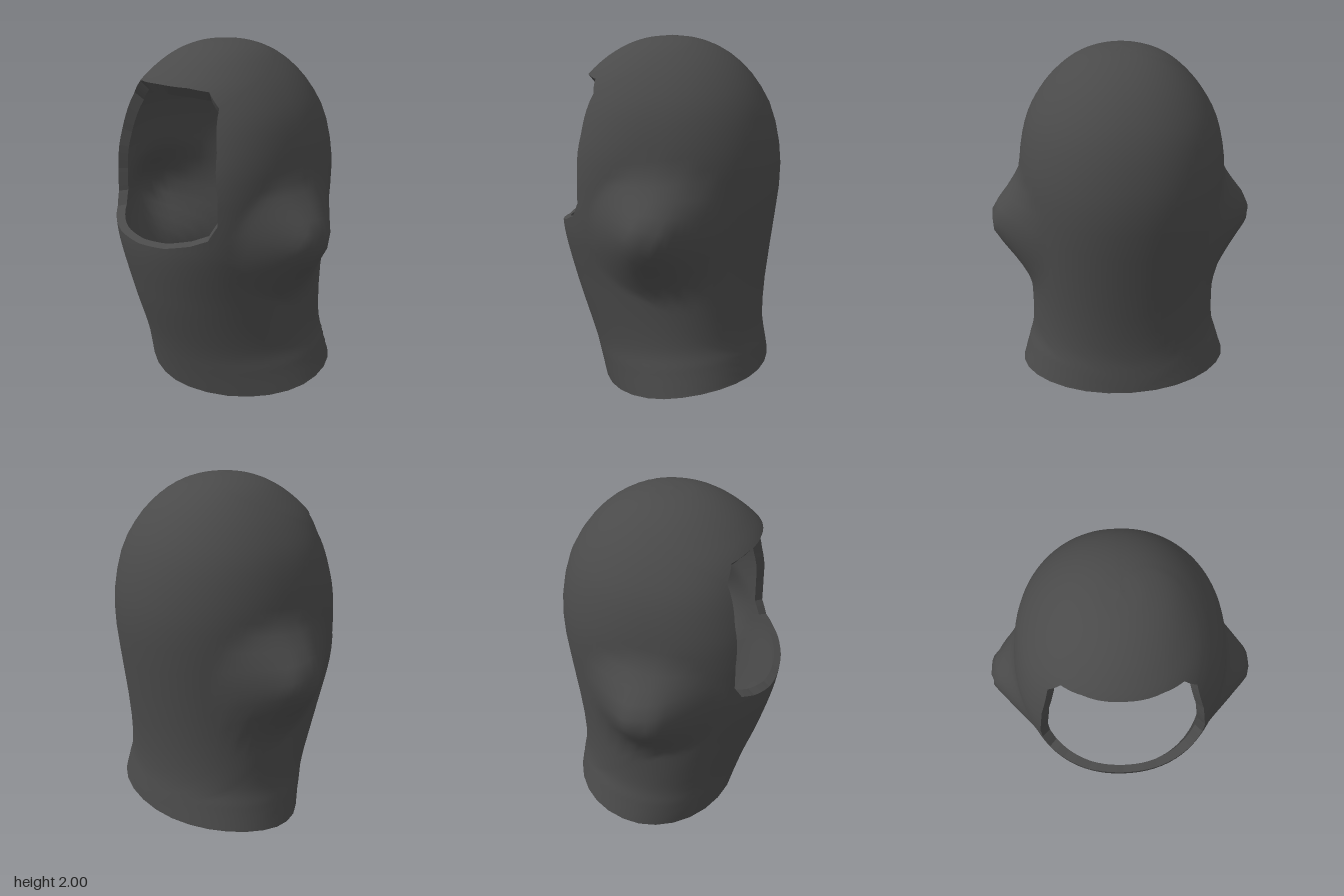
import * as THREE from 'three';
import { mergeVertices } from 'three/addons/utils/BufferGeometryUtils.js';

// Hood cross-sections from neck to crown: [height, half width, front depth, back depth]
const ROWS = [
  [0, 0.625, 0.40, 0.585], [0.15, 0.585, 0.435, 0.565], [0.3, 0.552, 0.475, 0.548],
  [0.6, 0.55, 0.565, 0.56], [0.93, 0.575, 0.635, 0.6], [1.2, 0.585, 0.62, 0.63],
  [1.4, 0.578, 0.59, 0.62], [1.6, 0.532, 0.55, 0.57], [1.75, 0.45, 0.50, 0.485],
  [1.86, 0.355, 0.395, 0.385], [1.94, 0.25, 0.27, 0.265], [1.985, 0.13, 0.14, 0.135], [2, 0, 0, 0],
];
const spline = (pts) => new THREE.CatmullRomCurve3(pts, false, 'catmullrom', 0.5);
const sizes = spline(ROWS.map((r) => new THREE.Vector3(r[1], r[2], r[3])));
const heights = spline(ROWS.map((r) => new THREE.Vector3(0, r[0], 0)));

// Half outline of the face opening (x, y), top centre to bottom centre
const OPENING = [
  [0, 1.785], [0.2, 1.78], [0.3, 1.765], [0.37, 1.69], [0.42, 1.48], [0.45, 1.24],
  [0.45, 1.1], [0.415, 1.02], [0.34, 0.985], [0.2, 0.95], [0, 0.935],
];
const SUB = 5;    // loop points per outline segment
const RINGS = 40; // rings from the opening to the hem, crown and back seam

const { lerp, clamp } = THREE.MathUtils;
const signedPow = (s, power) => Math.sign(s) * Math.abs(s) ** (2 / power);

// Squareness of the ovals: narrow at the throat, fullest at the cheeks, rounder at the back
const frontPower = (y) => Math.min(1.85 + 0.45 * y, 2.4 - 0.7 * Math.max(0, y - 1.4));
const BACK_POWER = 2.1;

// Point on the hood at angle a (0 = front) and row parameter v (0 = hem, 1 = crown)
function hoodPoint(a, v) {
  const s = sizes.getPoint(v);
  let y = heights.getPoint(v).y;
  const power = Math.cos(a) > 0 ? frontPower(y) : BACK_POWER;
  let x = s.x * signedPow(Math.sin(a), power);
  const c = signedPow(Math.cos(a), power);
  // widest line drifts back towards the hem
  const z0 = -0.1 * Math.max(0, 1 - y / 0.9);
  const z = z0 + c * (c > 0 ? s.y - z0 : s.z + z0);
  // hem rises in an S from front to back
  y += (0.075 - 0.082 * c - 0.018 * c * c + 0.025 * c ** 3) * Math.max(0, 1 - y / 0.6);
  // blunt bulge over each ear, fading into the cheek and nape
  const dy = y - 0.99, dz = z - 0.015;
  const d = Math.hypot(dy / (dy > 0 ? 0.33 : 0.39), dz / (dz > 0 ? 0.36 : 0.42));
  x += Math.sign(x) * 0.178 * clamp((1 - d) / 0.78, 0, 1) ** 1.3;
  return new THREE.Vector3(x, y, z);
}

// Row parameter for a height, by bisection
function rowAt(y) {
  let lo = 0, hi = 1;
  for (let i = 0; i < 30; i++) {
    const mid = (lo + hi) / 2;
    if (heights.getPoint(mid).y < y) lo = mid; else hi = mid;
  }
  return lo;
}

// Half loop pairing each opening point with a point on the domain's outer edge
function halfLoop() {
  const loop = [];
  for (let k = 0; k <= (OPENING.length - 1) * SUB; k++) {
    const u = k / SUB;
    const i = Math.min(Math.floor(u), OPENING.length - 2);
    const x = lerp(OPENING[i][0], OPENING[i + 1][0], u - i);
    const y = lerp(OPENING[i][1], OPENING[i + 1][1], u - i);
    const v0 = rowAt(y);
    const a0 = Math.asin((x / sizes.getPoint(v0).x) ** (frontPower(y) / 2));
    // crown edge, then back seam, then hem edge
    let a1 = Math.PI, v1;
    if (u <= 3) { a1 = Math.PI * u / 3; v1 = 1; }
    else if (u < 7) v1 = 1 - (u - 3) / 4;
    else { a1 = Math.PI * (10 - u) / 3; v1 = 0; }
    loop.push({ a0, v0, a1, v1 });
  }
  return loop;
}

// Smooth surface through closed rings of points
function loft(rings, flip) {
  const n = rings[0].length;
  const index = [];
  for (let i = 0; i < rings.length - 1; i++) {
    for (let j = 0; j < n; j++) {
      const a = i * n + j, b = i * n + (j + 1) % n, c = a + n, d = b + n;
      if (flip) index.push(a, c, b, b, c, d);
      else index.push(a, b, c, b, d, c);
    }
  }
  const g = new THREE.BufferGeometry().setFromPoints(rings.flat());
  g.setIndex(index);
  const merged = mergeVertices(g, 1e-5);
  merged.computeVertexNormals();
  return merged;
}

export function createModel() {
  const group = new THREE.Group();
  group.name = 'hood';

  const half = halfLoop();
  const mirrored = half.slice(1, -1).reverse().map((p) => ({ ...p, a0: -p.a0, a1: -p.a1 }));
  const loop = [...half, ...mirrored];

  // Fabric shell, open at the face and the neck
  const rings = [];
  for (let i = 0; i <= RINGS; i++) {
    const t = i / RINGS;
    rings.push(loop.map((p) => hoodPoint(lerp(p.a0, p.a1, t), lerp(p.v0, p.v1, t))));
  }
  const color = 0x4a4a4a;
  const shell = new THREE.Mesh(loft(rings, false),
    new THREE.MeshStandardMaterial({ color, side: THREE.DoubleSide }));
  shell.name = 'hoodShell';
  group.add(shell);

  // Lip folded inwards around the face opening
  const rim = rings[0];
  const inner = rim.map((p) => new THREE.Vector3(
    p.x * 0.91, 1.25 + (p.y - 1.25) * (p.y > 1.25 ? 0.9 : 0.95), p.z - 0.04));
  const lip = new THREE.Mesh(loft([rim, inner], true),
    new THREE.MeshStandardMaterial({ color, side: THREE.DoubleSide, flatShading: true }));
  lip.name = 'faceOpeningLip';
  group.add(lip);

  return group;
}
